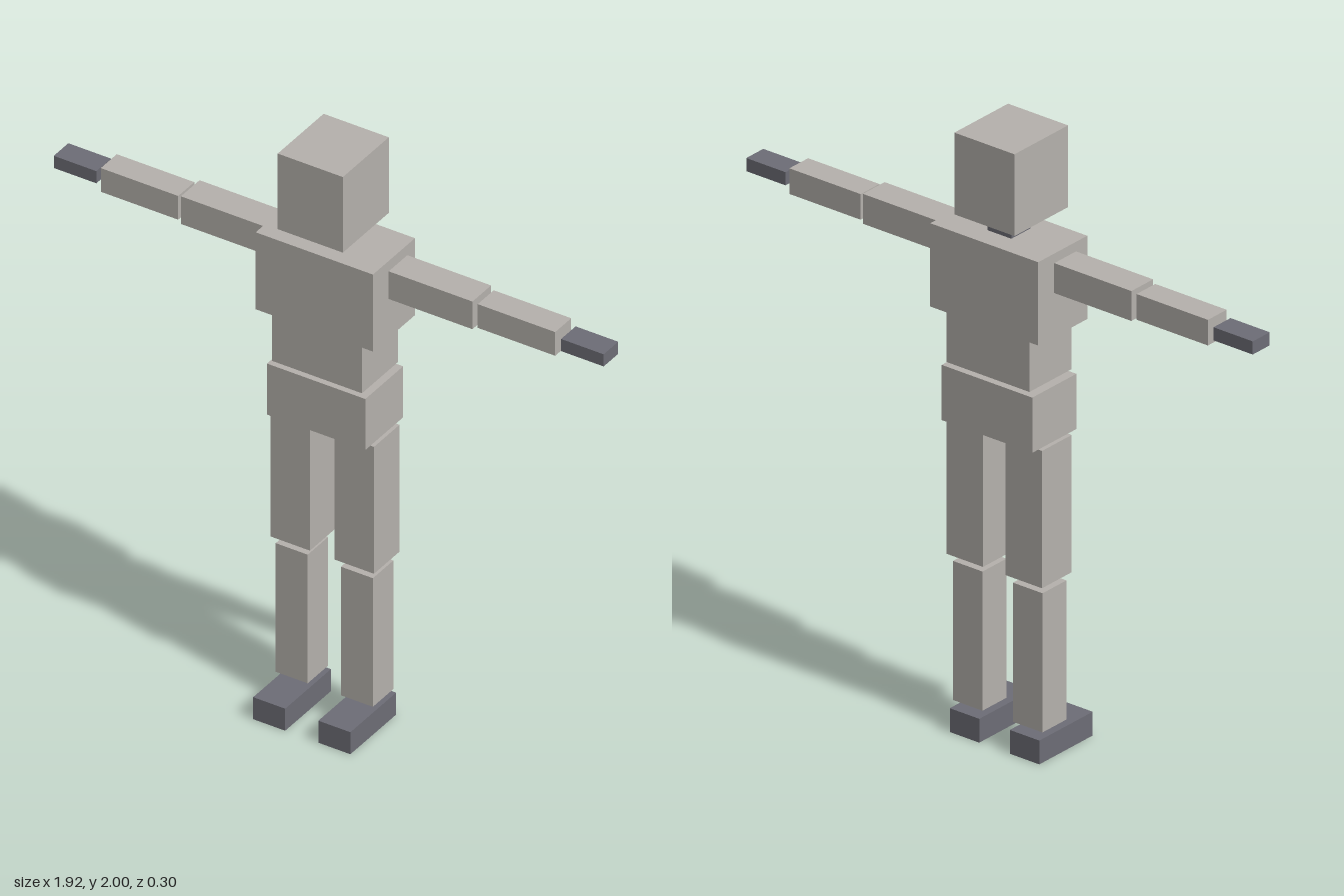
import * as THREE from 'three';

export function createModel() {
  const model = new THREE.Group();
  model.name = 'blockFigure';

  const bodyGrey = new THREE.MeshStandardMaterial({ color: 0xb5b1ac });
  bodyGrey.name = 'bodyGrey';
  const darkGrey = new THREE.MeshStandardMaterial({ color: 0x6d6d76 });
  darkGrey.name = 'darkGrey';

  // Block spanning the given [min, max] range on each axis
  function block(parent, name, material, [x0, x1], [y0, y1], [z0, z1]) {
    const mesh = new THREE.Mesh(new THREE.BoxGeometry(x1 - x0, y1 - y0, z1 - z0), material);
    mesh.position.set((x0 + x1) / 2, (y0 + y1) / 2, (z0 + z1) / 2);
    mesh.name = name;
    parent.add(mesh);
  }

  // Head and torso, centred on x
  const torso = new THREE.Group();
  torso.name = 'torso';
  model.add(torso);
  block(torso, 'head', bodyGrey, [-0.114, 0.114], [1.732, 2], [-0.147, 0.102]);
  block(torso, 'neck', darkGrey, [-0.045, 0.045], [1.675, 1.732], [-0.077, 0.012]);
  block(torso, 'chest', bodyGrey, [-0.205, 0.205], [1.402, 1.675], [-0.148, 0.08]);
  block(torso, 'abdomen', bodyGrey, [-0.157, 0.157], [1.228, 1.402], [-0.13, 0.065]);
  block(torso, 'pelvis', bodyGrey, [-0.172, 0.172], [1.035, 1.216], [-0.135, 0.07]);

  // Limbs: ranges for the left side, mirrored for the right
  const limbs = {
    Arm: [
      ['UpperArm', bodyGrey, [0.217, 0.51], [1.555, 1.653], [-0.088, 0.013]],
      ['Forearm', bodyGrey, [0.524, 0.795], [1.561, 1.645], [-0.081, 0.006]],
      ['Hand', darkGrey, [0.813, 0.962], [1.582, 1.625], [-0.077, 0.002]],
    ],
    Leg: [
      ['Thigh', bodyGrey, [0.043, 0.181], [0.581, 1.031], [-0.101, 0.037]],
      ['Shin', bodyGrey, [0.058, 0.17], [0.099, 0.555], [-0.085, 0.026]],
      ['Foot', darkGrey, [0.058, 0.17], [0, 0.078], [-0.1, 0.148]],
    ],
  };
  for (const [side, sign] of [['left', 1], ['right', -1]]) {
    for (const [limb, parts] of Object.entries(limbs)) {
      const group = new THREE.Group();
      group.name = side + limb;
      model.add(group);
      for (const [name, material, x, y, z] of parts) {
        const xRange = sign > 0 ? x : [-x[1], -x[0]];
        block(group, side + name, material, xRange, y, z);
      }
    }
  }

  return model;
}
